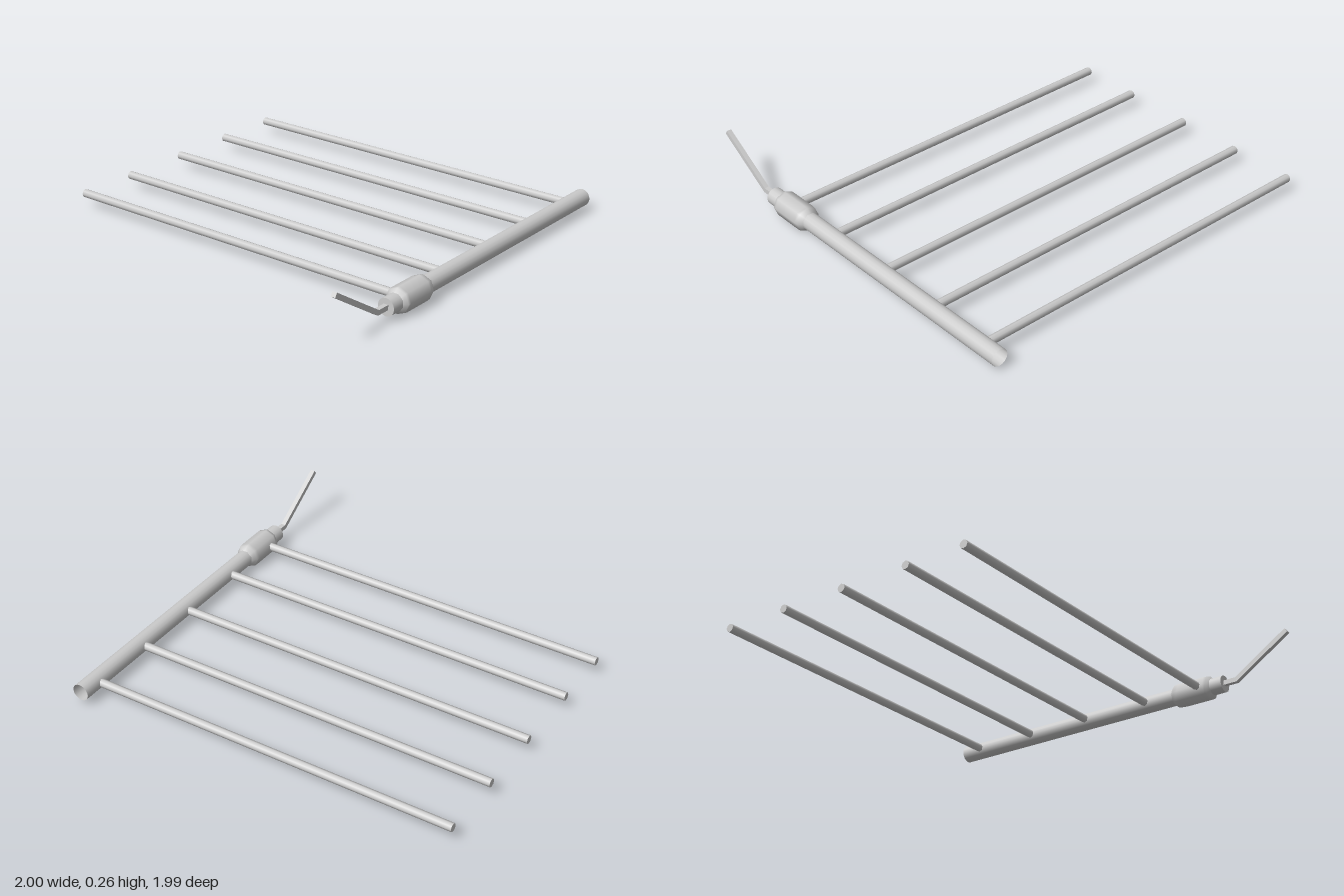
import * as THREE from 'three';

const X = 0.935, Y = 0.064; // axis of the main tube

export function createModel() {
  const group = new THREE.Group();
  const smooth = new THREE.MeshStandardMaterial({ color: 0xcccccc, side: THREE.DoubleSide });
  const flat = new THREE.MeshStandardMaterial({ color: 0xcccccc, flatShading: true });

  const add = (name, geometry, material) => {
    const mesh = new THREE.Mesh(geometry, material);
    mesh.name = name;
    group.add(mesh);
    return mesh;
  };

  // Main tube, open at the back
  const z0 = -0.995, z1 = 0.625;
  const tube = add('mainTube', new THREE.CylinderGeometry(0.043, 0.043, z1 - z0, 16, 1, true), smooth);
  tube.rotation.x = Math.PI / 2;
  tube.position.set(X, Y, (z0 + z1) / 2);

  // Cap closing the front end of the tube
  add('frontCap', new THREE.CircleGeometry(0.043, 16), flat).position.set(X, Y, z1);

  // Thicker eight-sided collar with tapered ends
  const profile = [[0.043, 0.335], [0.062, 0.36], [0.064, 0.38], [0.064, 0.53], [0.062, 0.545], [0.043, 0.56]];
  const collar = add('collar', new THREE.LatheGeometry(profile.map(([r, z]) => new THREE.Vector2(r, z)), 8), smooth);
  collar.rotation.x = Math.PI / 2;
  collar.position.set(X, Y, 0);

  // Parallel crossbars
  for (const z of [-0.885, -0.545, -0.195, 0.175, 0.495]) {
    const bar = add('crossbar', new THREE.CylinderGeometry(0.021, 0.021, 1.91, 8), smooth);
    bar.rotation.z = Math.PI / 2;
    bar.position.set(-1 + 1.91 / 2, Y + 0.002, z);
  }

  // Bent crank handle: a side profile in z and y, extruded across x
  const w = 0.024;
  const outline = [[0.62, 0.054], [0.697, 0.054], [0.994, 0.244], [0.981, 0.264], [0.69, 0.078], [0.62, 0.078]];
  const handle = new THREE.ExtrudeGeometry(
    new THREE.Shape(outline.map(([z, y]) => new THREE.Vector2(-z, y))),
    { depth: w, bevelEnabled: false }
  );
  handle.rotateY(Math.PI / 2).translate(X - w / 2, 0, 0);
  add('crankHandle', handle, flat);

  return group;
}
